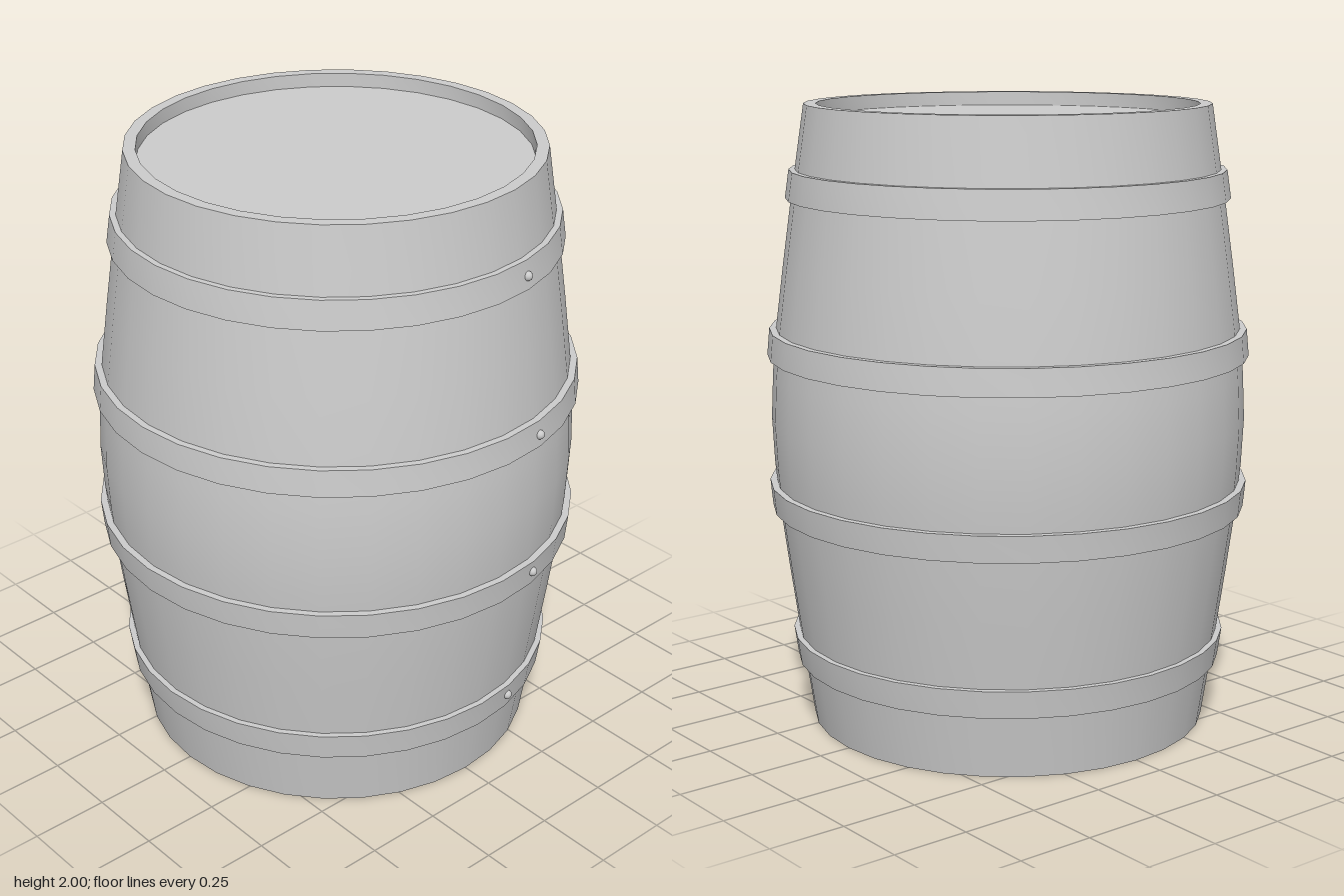
import * as THREE from 'three';
import { toCreasedNormals } from 'three/addons/utils/BufferGeometryUtils.js';

const SIDES = 32;
const material = new THREE.MeshStandardMaterial({ color: 0xcccccc });

// Turned part with crisp rims and smooth walls; profile is [radius, y], bottom to top on the outside
function turned(name, profile) {
  const points = profile.map(([r, y]) => new THREE.Vector2(r, y));
  const mesh = new THREE.Mesh(toCreasedNormals(new THREE.LatheGeometry(points, SIDES), 0.6), material);
  mesh.name = name;
  return mesh;
}

export function createModel() {
  const barrel = new THREE.Group();
  barrel.name = 'barrel';

  // Bulging staves with raised lips and recessed heads, mirrored about mid height
  const half = [[0, 0.045], [0.605, 0.045], [0.605, 0], [0.643, 0], [0.673, 0.2],
    [0.688, 0.3], [0.716, 0.5], [0.742, 0.7], [0.756, 0.85]];
  const upper = half.map(([r, y]) => [r, 2 - y]).reverse();
  barrel.add(turned('body', [...half, [0.763, 1], ...upper]));

  // Hoops: y and outer radius of the end edge, then of the edge nearer the middle
  const hoops = [
    { y0: 0.205, r0: 0.693, y1: 0.295, r1: 0.706 },
    { y0: 0.71, r0: 0.765, y1: 0.795, r1: 0.773 },
  ];
  const rivetAngle = (2 * Math.PI) / SIDES;
  for (const { y0, r0, y1, r1 } of hoops) {
    const section = [[r0 - 0.03, y0], [r0, y0], [r1, y1], [r1 - 0.03, y1]];
    const mirrored = section.map(([r, y]) => [r, 2 - y]).reverse();
    barrel.add(turned('lowerHoop', section), turned('upperHoop', mirrored));

    // One rivet on each hoop
    const y = (y0 + y1) / 2 + 0.004;
    const r = (r0 + r1) / 2;
    for (const height of [y, 2 - y]) {
      const rivet = new THREE.Mesh(new THREE.SphereGeometry(0.015, 12, 8), material);
      rivet.name = 'rivet';
      rivet.position.set(r * Math.cos(rivetAngle), height, -r * Math.sin(rivetAngle));
      barrel.add(rivet);
    }
  }
  return barrel;
}
